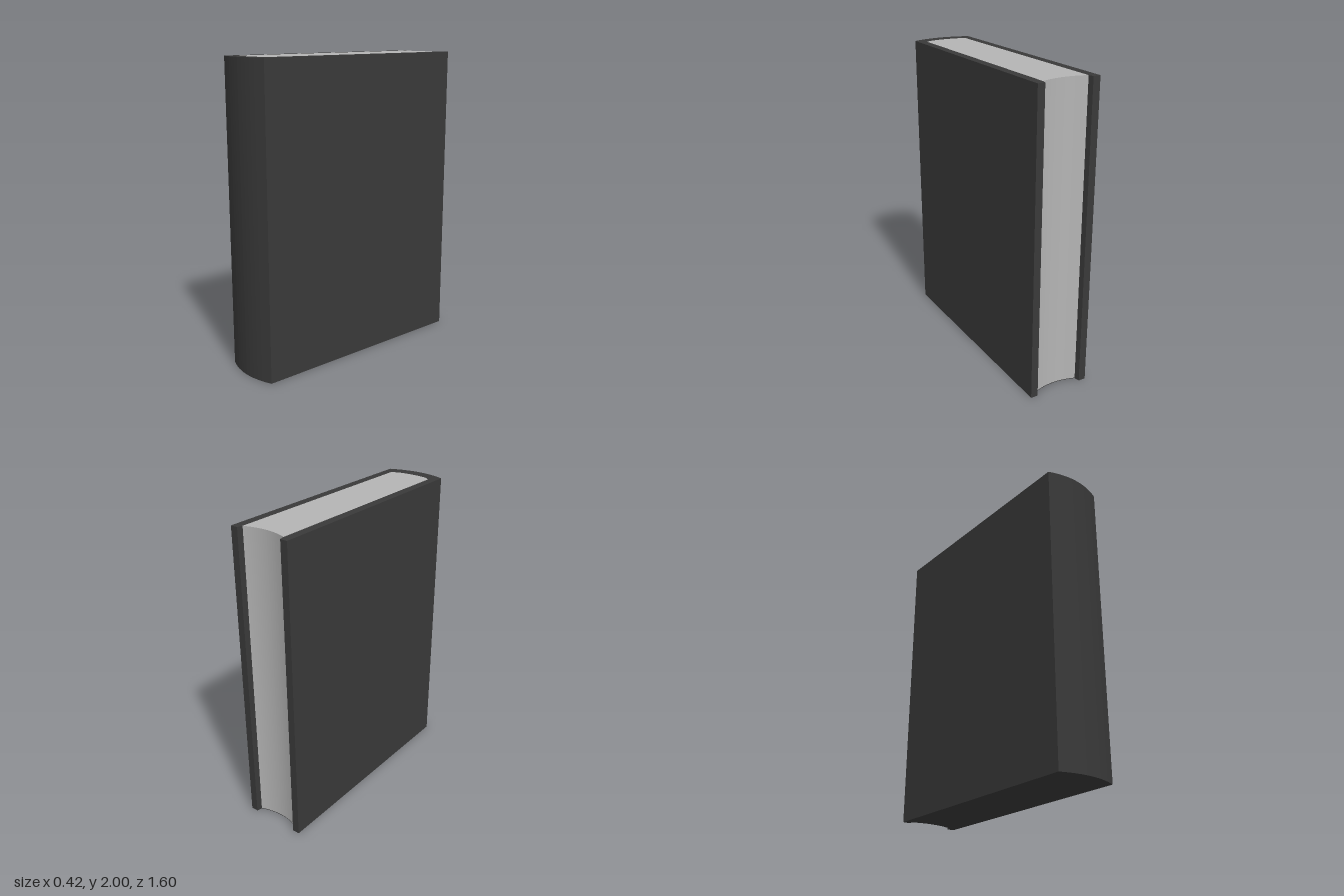
import * as THREE from 'three';

const H = 2;

// Closed plan outline of [x, z] points, extruded upward from y0 to y1
function prism(points, y0, y1) {
  const shape = new THREE.Shape(points.map(([x, z]) => new THREE.Vector2(x, -z)));
  const geo = new THREE.ExtrudeGeometry(shape, { depth: y1 - y0, bevelEnabled: false });
  geo.rotateX(-Math.PI / 2);
  geo.translate(0, y0, 0);
  return geo;
}

// Shallow arc across the book from +x to -x, bulging from zEdge to zMid
function arc(halfWidth, zEdge, zMid, segments) {
  const points = [];
  for (let i = 0; i <= segments; i++) {
    const t = 1 - (2 * i) / segments;
    points.push([halfWidth * t, zMid + (zEdge - zMid) * t * t]);
  }
  return points;
}

// Rounded inner spine line with clipped corners, from +x to -x
function innerSpine(halfWidth, zSide, zCorner, zMid) {
  return [[halfWidth, zSide], ...arc(0.115, zCorner, zMid, 8), [-halfWidth, zSide]];
}

export function createModel() {
  const coverMat = new THREE.MeshStandardMaterial({ color: 0x393939 });
  coverMat.name = 'charcoal cover';
  const paperMat = new THREE.MeshStandardMaterial({ color: 0xb4b4b4 });
  paperMat.name = 'grey paper';

  const book = new THREE.Group();
  book.name = 'book';
  const add = (name, geo, mat) => {
    const mesh = new THREE.Mesh(geo, mat);
    mesh.name = name;
    book.add(mesh);
  };

  // Cover: two boards joined by a rounded spine
  const outer = [[0.208, -0.8], ...arc(0.208, 0.755, 0.8, 12), [-0.208, -0.8]];
  const inner = innerSpine(0.16, 0.69, 0.718, 0.732);
  const innerBack = inner.slice().reverse();
  add('cover', prism([...outer, [-0.16, -0.8], ...innerBack, [0.16, -0.8]], 0, H), coverMat);

  // Lining between the cover and the pages, tapering at the open edge
  const pageSpine = innerSpine(0.152, 0.68, 0.705, 0.718);
  add('lining', prism([
    [0.16, -0.8], ...inner, [-0.16, -0.8],
    [-0.152, -0.765], ...pageSpine.slice().reverse(), [0.152, -0.765],
  ], 0, H), coverMat);

  // Page block with a hollow fore edge, and a dark sheet closing its underside
  const foreEdge = arc(0.152, -0.765, -0.735, 24).reverse();
  const pageOutline = [...pageSpine, ...foreEdge];
  add('pages', prism(pageOutline, 0.004, H), paperMat);
  add('pageUnderside', prism(pageOutline, 0, 0.004), coverMat);

  return book;
}
